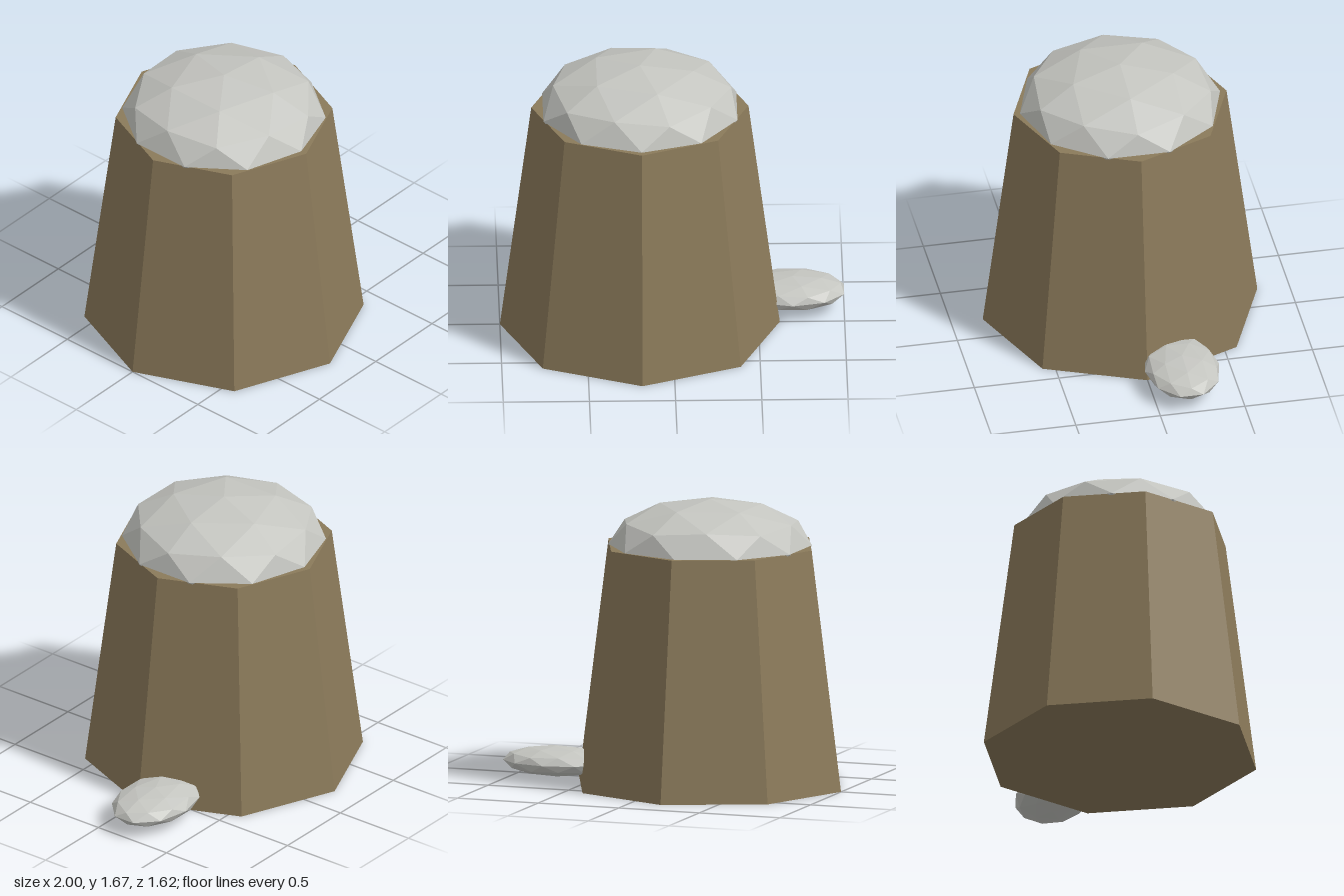
import * as THREE from 'three';

const wood = new THREE.MeshStandardMaterial({ color: 0x8b7a5a, flatShading: true });
wood.name = 'brown wood';
const snow = new THREE.MeshStandardMaterial({ color: 0xc4c5c0, flatShading: true });
snow.name = 'pale grey';

function addMesh(group, name, geometry, material, x, y, z) {
  const mesh = new THREE.Mesh(geometry, material);
  mesh.name = name;
  mesh.position.set(x, y, z);
  group.add(mesh);
}

// Faceted ball with one five-sided corner pointing straight up, then squashed
function boulder(rx, ry, rz) {
  const geometry = new THREE.IcosahedronGeometry(1, 1);
  geometry.rotateZ(-Math.atan2(2, 1 + Math.sqrt(5)));
  geometry.scale(rx, ry, rz);
  geometry.computeVertexNormals();
  return geometry;
}

export function createModel() {
  const group = new THREE.Group();
  group.name = 'cappedStump';
  const x = -0.188, height = 1.407;

  // Tapered eight-sided body
  addMesh(group, 'stump', new THREE.CylinderGeometry(0.63, 0.812, height, 8), wood, x, height / 2, 0);

  // Dome sunk halfway into the top
  addMesh(group, 'dome', boulder(0.592, 0.268, 0.592), snow, x, height, 0);

  // Flat stone set into the foot of the stump
  addMesh(group, 'sideStone', boulder(0.315, 0.086, 0.22), snow, 0.7, 0.114, -0.188);

  return group;
}
